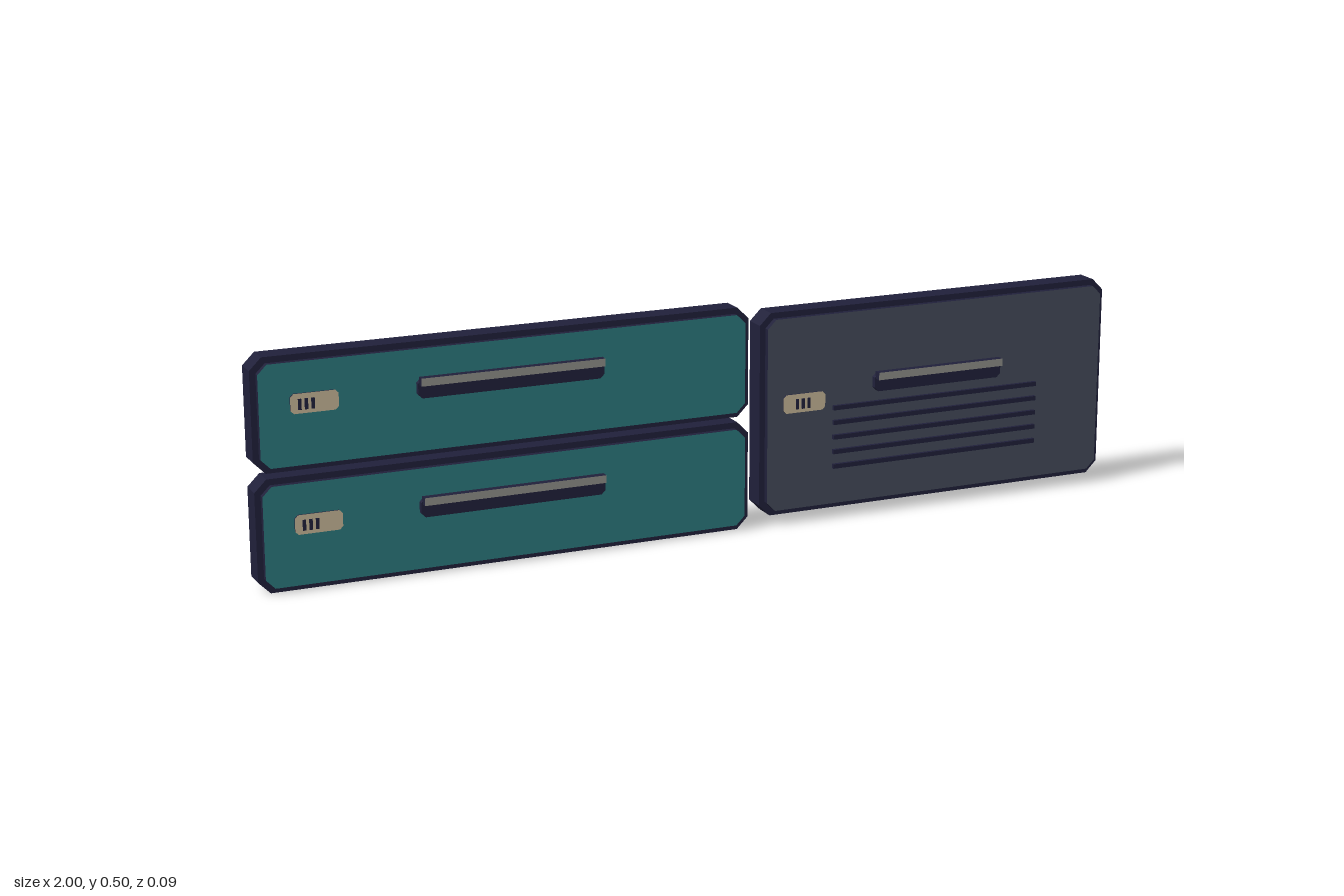
import * as THREE from 'three';

const material = (name, color) => {
  const m = new THREE.MeshStandardMaterial({ color });
  m.name = name;
  return m;
};

export function createModel() {
  const dark = material('dark navy', 0x20203a);
  const teal = material('teal', 0x2b7a7e);
  const slate = material('slate', 0x444b5a);
  const beige = material('label beige', 0xc8b898);
  const grey = material('handle grey', 0x90908a);

  // Plate with cut corners: coloured faces, dark rim
  function plate(parent, name, [x0, x1, y0, y1], z0, z1, cut, face) {
    const shape = new THREE.Shape([
      [x0 + cut, y0], [x1 - cut, y0], [x1, y0 + cut], [x1, y1 - cut],
      [x1 - cut, y1], [x0 + cut, y1], [x0, y1 - cut], [x0, y0 + cut],
    ].map(([x, y]) => new THREE.Vector2(x, y)));
    const geometry = new THREE.ExtrudeGeometry(shape, { depth: z1 - z0, bevelEnabled: false });
    geometry.translate(0, 0, z0);
    const mesh = new THREE.Mesh(geometry, [face, dark]);
    mesh.name = name;
    parent.add(mesh);
  }

  function box(parent, name, x0, x1, y0, y1, z0, z1, mat) {
    const mesh = new THREE.Mesh(new THREE.BoxGeometry(x1 - x0, y1 - y0, z1 - z0), mat);
    mesh.position.set((x0 + x1) / 2, (y0 + y1) / 2, (z0 + z1) / 2);
    mesh.name = name;
    parent.add(mesh);
  }

  // Slab with raised face panel
  function unit(name, [x0, x1, y0, y1], face) {
    const group = new THREE.Group();
    group.name = name;
    const i = 0.013;
    plate(group, 'body', [x0, x1, y0, y1], -0.045, 0.006, 0.026, dark);
    plate(group, 'facePanel', [x0 + i, x1 - i, y0 + i, y1 - i], 0.006, 0.019, 0.02, face);
    return group;
  }

  // Handle back plate with projecting lip; y is the lip top
  function handle(parent, x0, x1, y) {
    plate(parent, 'handleBase', [x0, x1, y - 0.046, y - 0.005], 0.019, 0.031, 0.009, dark);
    const lip = [dark, dark, dark, dark, grey, dark];
    box(parent, 'handleLip', x0 + 0.003, x1 - 0.003, y - 0.017, y, 0.028, 0.045, lip);
  }

  // Label with three printed bars
  function label(parent, x, y, barOffset) {
    plate(parent, 'label', [x, x + 0.102, y, y + 0.042], 0.019, 0.0225, 0.007, beige);
    for (let k = 0; k < 3; k++) {
      const bx = x + barOffset + k * 0.014;
      box(parent, 'labelBar', bx, bx + 0.007, y + 0.008, y + 0.031, 0.0225, 0.0245, dark);
    }
  }

  const model = new THREE.Group();
  model.name = 'drawerFronts';

  // Two stacked drawers
  for (const [name, y0, y1] of [['lowerDrawer', 0, 0.244], ['upperDrawer', 0.256, 0.5]]) {
    const drawer = unit(name, [-1, 0.107, y0, y1], teal);
    handle(drawer, -0.653, -0.24, y0 + 0.174);
    label(drawer, -0.922, y0 + 0.123, 0.016);
    model.add(drawer);
  }

  // Vented door
  const door = unit('door', [0.135, 1, 0.021, 0.48], slate);
  handle(door, 0.405, 0.723, 0.329);
  label(door, 0.185, 0.254, 0.03);
  for (let k = 0; k < 5; k++) {
    const y = 0.121 + k * 0.0335;
    box(door, 'ventSlat', 0.307, 0.82, y - 0.005, y + 0.005, 0.019, 0.027, dark);
  }
  model.add(door);
  return model;
}
